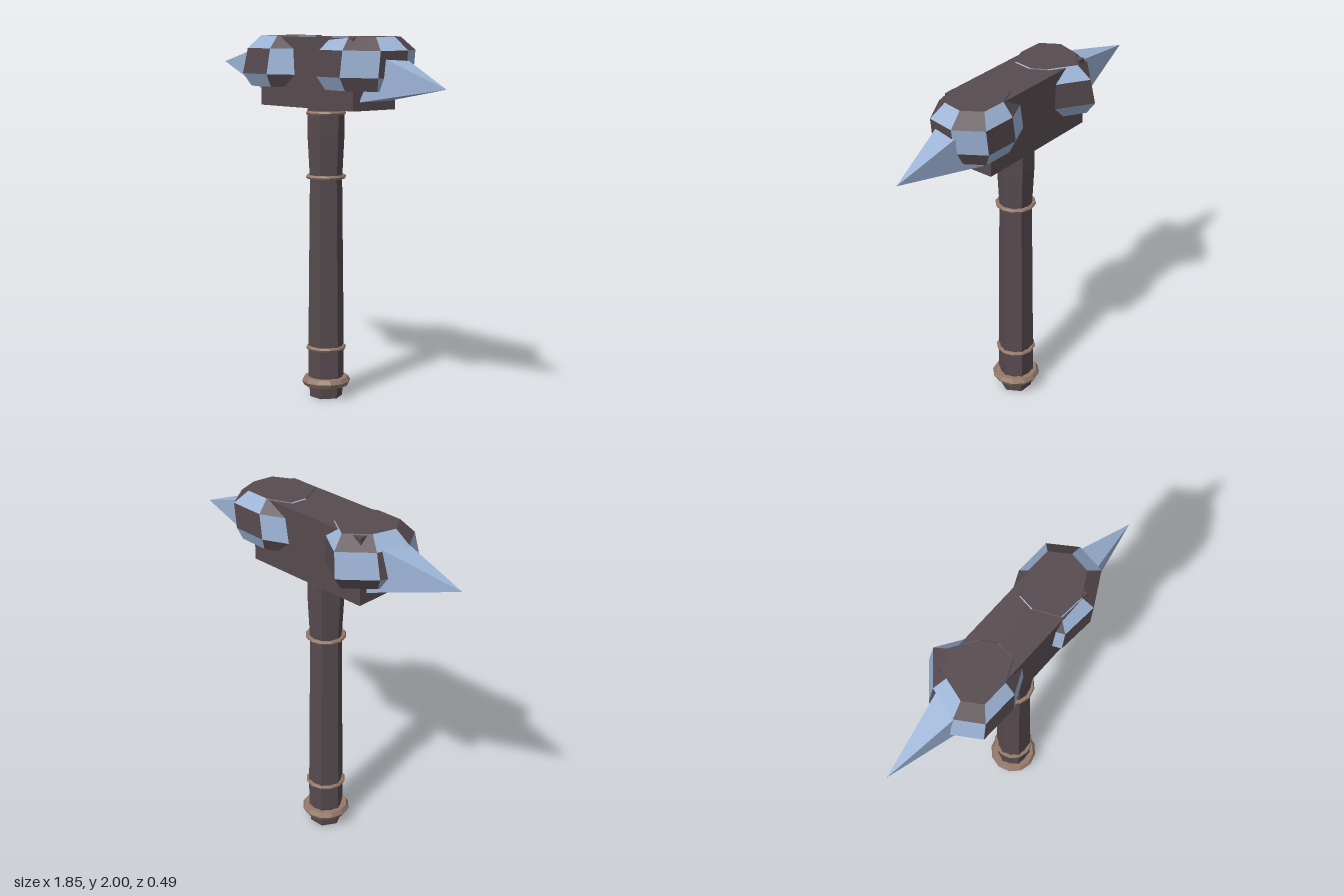
import * as THREE from 'three';

const mat = (color) => new THREE.MeshStandardMaterial({ color, flatShading: true });
const stone = mat(0x574b4f), crystal = mat(0x9db4d6), bronze = mat(0x94796a);

const CZ = 0.025; // depth centre of the shaft

function add(parent, name, geometry, material) {
  const mesh = new THREE.Mesh(geometry, material);
  mesh.name = name;
  parent.add(mesh);
  return mesh;
}

function fromTriangles(points) {
  const g = new THREE.BufferGeometry();
  g.setAttribute('position', new THREE.Float32BufferAttribute(points.flat(), 3));
  g.computeVertexNormals();
  return g;
}

// Faceted boulder lofted from one plan outline; facets alternate crystal and stone
function boulder(name, outline, layers) {
  const n = outline.length;
  const cx = outline.reduce((s, p) => s + p[0], 0) / n;
  const cz = outline.reduce((s, p) => s + p[1], 0) / n;
  const rings = layers.map(([y, s, dx]) =>
    outline.map(([x, z]) => [cx + dx + (x - cx) * s, y, cz + (z - cz) * s]));
  const light = [], dark = [];
  const last = rings.length - 1;
  for (let i = 0; i < n; i++) {
    const k = (i + 1) % n;
    for (let j = 0; j < last; j++) {
      const a = rings[j][i], b = rings[j][k], c = rings[j + 1][k], d = rings[j + 1][i];
      ((i + j) % 2 ? light : dark).push(a, b, c, a, c, d);
    }
    dark.push([cx, layers[last][0], cz], rings[last][i], rings[last][k]);
    dark.push([cx, layers[0][0], cz], rings[0][k], rings[0][i]);
  }
  const group = new THREE.Group();
  group.name = name;
  add(group, name + 'CrystalFacets', fromTriangles(light), crystal);
  add(group, name + 'StoneFacets', fromTriangles(dark), stone);
  return group;
}

// Four-sided spike: side is +1 (left) or -1 (right)
function spike(side, tip, bottom, top) {
  const c = [
    [bottom[0], bottom[1], 0.12], [bottom[0], bottom[1], -0.08],
    [top[0], top[1], -0.065], [top[0], top[1], 0.1],
  ];
  const tris = [[c[0], c[2], c[1]], [c[0], c[3], c[2]]];
  for (let i = 0; i < 4; i++) tris.push([c[i], c[(i + 1) % 4], tip]);
  return fromTriangles(tris.flatMap((t) => (side > 0 ? t : [t[0], t[2], t[1]])));
}

export function createModel() {
  const model = new THREE.Group();
  model.name = 'warHammer';

  // Six-sided shaft, waisted below the head
  const profile = [[0, 0], [0.09, 0], [0.1, 0.12], [0.1, 0.3], [0.09, 1.22], [0.102, 1.45], [0.104, 1.64], [0, 1.64]]
    .map(([r, y]) => new THREE.Vector2(r, y));
  const shaft = add(model, 'shaft', new THREE.LatheGeometry(profile, 6).rotateY(Math.PI / 6), stone);
  shaft.position.z = CZ;

  // Metal bands and the heavier pommel ring
  for (const [name, y, r, tube, stretch] of [
    ['pommelRing', 0.09, 0.108, 0.028, 1],
    ['lowerBand', 0.28, 0.1, 0.012, 1],
    ['middleBand', 1.235, 0.1, 0.012, 1],
    ['upperBand', 1.585, 0.1, 0.012, 1],
  ]) {
    const ring = add(model, name, new THREE.TorusGeometry(r, tube, 6, 12).rotateX(Math.PI / 2), bronze);
    ring.position.set(0, y, CZ);
    ring.scale.y = stretch;
  }

  // Head block
  const block = add(model, 'headBlock', new THREE.BoxGeometry(0.775, 0.38, 0.295), stone);
  block.position.set(-0.002, 1.805, 0.02);

  // Faceted boulders embedded in both ends
  model.add(boulder('rightBoulder', [
    [-0.56, 0.09], [-0.47, 0.235], [-0.25, 0.24], [-0.08, 0.16],
    [-0.06, 0], [-0.13, -0.12], [-0.33, -0.25], [-0.5, -0.1],
  ], [[1.72, 0.82, 0], [1.79, 1, 0], [1.93, 0.94, 0.02], [2, 0.68, 0.03]]));
  model.add(boulder('leftBoulder', [
    [0.06, 0.02], [0.15, 0.22], [0.36, 0.235], [0.55, 0.13],
    [0.58, -0.04], [0.48, -0.19], [0.27, -0.195], [0.08, -0.11],
  ], [[1.72, 0.82, 0], [1.79, 0.97, -0.01], [1.93, 0.96, 0.01], [2, 0.68, 0.0]]));

  // Crystal spikes
  add(model, 'rightSpike', spike(-1, [-0.93, 1.84, 0.02], [-0.38, 1.67], [-0.47, 1.94]), crystal);
  add(model, 'leftSpike', spike(1, [0.92, 1.745, 0.02], [0.38, 1.66], [0.5, 1.905]), crystal);

  return model;
}
